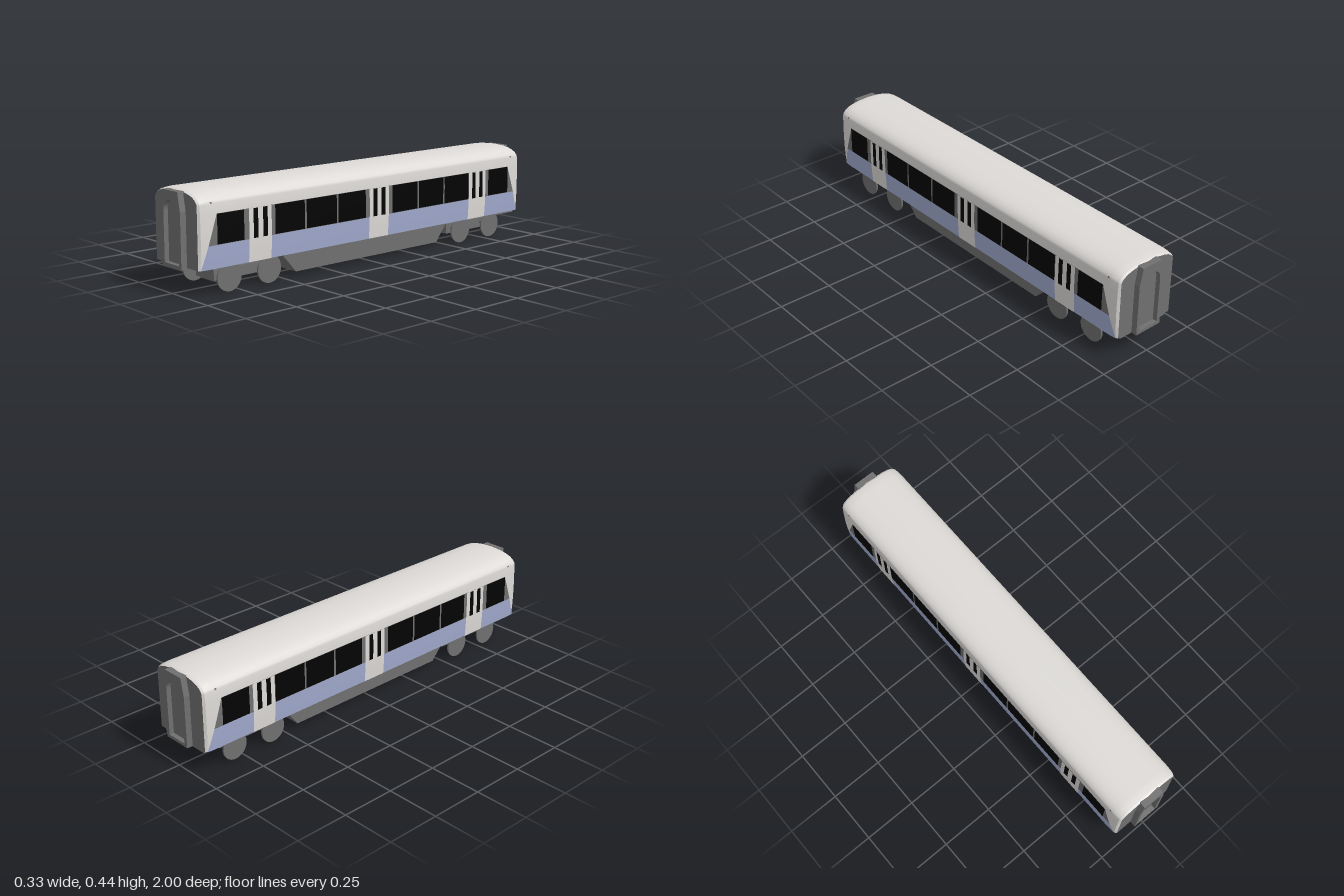
import * as THREE from 'three';

const mat = (name, color) => Object.assign(new THREE.MeshStandardMaterial({ color }), { name });

// half cross-section of the body, sill to roof centre
const FLOOR = 0.116;
const HALF = [[0.158, FLOOR], [0.161, 0.16], [0.1635, 0.215], [0.1635, 0.28], [0.162, 0.345], [0.16, 0.387],
  [0.156, 0.398], [0.144, 0.411], [0.126, 0.422], [0.1, 0.43], [0.06, 0.437], [0, 0.44]];
const PROFILE = [...HALF, ...HALF.slice(0, -1).reverse().map(([x, y]) => [-x, y])];
const SHELL_END = 0.963, END = 0.972;
const SECTIONS = [-SHELL_END, -0.945, -0.92, -0.6, -0.2, 0.2, 0.6, 0.92, 0.945, SHELL_END];

// the body draws in a little towards each end
function taper(z) {
  const t = Math.max(0, (Math.abs(z) - 0.92) / (SHELL_END - 0.92));
  return { sx: 1 - 0.024 * t * t, sy: 1 - 0.012 * t * t };
}
function section(z) {
  const { sx, sy } = taper(z);
  return PROFILE.map(([x, y]) => [x * sx, FLOOR + (y - FLOOR) * sy]);
}
function halfWidth(y, z) {
  let i = 0;
  while (i < HALF.length - 2 && HALF[i + 1][1] < y) i++;
  const [x0, y0] = HALF[i], [x1, y1] = HALF[i + 1];
  return THREE.MathUtils.lerp(x0, x1, (y - y0) / (y1 - y0)) * taper(z).sx;
}

// surface over a grid of points
function grid(nu, nv, point) {
  const pos = [], index = [];
  for (let i = 0; i <= nu; i++) for (let j = 0; j <= nv; j++) pos.push(...point(i, j));
  for (let i = 0; i < nu; i++) for (let j = 0; j < nv; j++) {
    const a = i * (nv + 1) + j, b = a + nv + 1;
    index.push(a, a + 1, b, b, a + 1, b + 1);
  }
  const g = new THREE.BufferGeometry();
  g.setAttribute('position', new THREE.Float32BufferAttribute(pos, 3));
  g.setIndex(index);
  g.computeVertexNormals();
  return g;
}
const loft = (rings, zs) =>
  grid(zs.length - 1, PROFILE.length - 1, (i, j) => [...rings[i][j], zs[i]]);

// thin plate hugging the side wall; z limits are given at its bottom and top
function sidePlate(side, y0, y1, [b0, b1], [t0, t1], layer) {
  const nu = Math.max(1, Math.ceil((b1 - b0) / 0.02)), nv = 5;
  return grid(nu, nv, (i, j) => {
    const u = side > 0 ? i / nu : 1 - i / nu, v = j / nv;
    const y = y0 + (y1 - y0) * v;
    const z = THREE.MathUtils.lerp(b0 + (b1 - b0) * u, t0 + (t1 - t0) * u, v);
    return [side * (halfWidth(y, z) + 0.0013 * layer), y, z];
  });
}

export function createModel() {
  const white = mat('bodyWhite', 0xdddad7), blue = mat('bandBlue', 0xa0aace);
  const grey = mat('darkGrey', 0x707070), black = mat('windowBlack', 0x030303);
  const model = new THREE.Group();
  model.name = 'railwayCarriage';
  const add = (name, geometry, material, parent = model) => {
    const m = new THREE.Mesh(geometry, material);
    m.name = name;
    parent.add(m);
    return m;
  };
  const box = (name, w, h, d, x, y, z, parent) =>
    add(name, new THREE.BoxGeometry(w, h, d), grey, parent).position.set(x, y, z);

  // body shell and floor
  add('bodyShell', loft(SECTIONS.map(section), SECTIONS), white);
  box('floor', 0.296, 0.006, 2 * END - 0.002, 0, FLOOR + 0.003, 0);

  // side livery, windows and doors
  const YB = 0.215, YT = 0.345;
  const slant = y => SHELL_END - 0.078 * (y - FLOOR) / (YT - FLOOR);
  const windows = [[0.749, 0.885], [0.424, 0.585], [0.242, 0.414], [0.07, 0.232],
    [-0.255, -0.094], [-0.427, -0.265], [-0.602, -0.437], [-0.885, -0.743]];
  const doors = [0.664, -0.013, -0.664];
  for (const side of [1, -1]) {
    const wall = new THREE.Group();
    wall.name = side > 0 ? 'leftSide' : 'rightSide';
    model.add(wall);
    const plate = (name, m, y0, y1, z0, z1, layer) =>
      add(name, sidePlate(side, y0, y1, [z0, z1], [z0, z1], layer), m, wall);
    const band = (name, m, y0, y1) => add(name, sidePlate(side, y0, y1,
      [-slant(y0), slant(y0)], [-slant(y1), slant(y1)], 1), m, wall);
    band('lowerBand', blue, FLOOR, YB);
    band('windowBand', grey, YB, YT);
    for (const [z0, z1] of windows) plate('window', black, YB + 0.002, YT - 0.001, z0, z1, 2);
    for (const z of doors) {
      plate('door', white, FLOOR, YT, z - 0.059, z + 0.059, 2);
      for (const dz of [-0.025, 0.025])
        plate('doorWindow', black, YB + 0.002, YT - 0.002, z + dz - 0.012, z + dz + 0.012, 3);
    }
    for (const z of [0.91, -0.91]) plate('markerLamp', grey, 0.388, 0.395, z - 0.005, z + 0.005, 1);
  }

  // bevelled end rims, end walls and gangway frames
  const shellRing = section(SHELL_END);
  const endRing = shellRing.map(([x, y]) =>
    [THREE.MathUtils.clamp(x * 0.965, -0.149, 0.149), FLOOR + (y - FLOOR) * 0.988]);
  const endShape = new THREE.Shape(endRing.map(p => new THREE.Vector2(...p)));
  const frame = new THREE.Shape([[-0.0685, 0.11], [0.0685, 0.11], [0.0685, 0.35], [0.053, 0.432],
    [-0.053, 0.432], [-0.0685, 0.35]].map(p => new THREE.Vector2(...p)));
  const arch = new THREE.Path();
  arch.moveTo(-0.051, 0.125);
  arch.lineTo(-0.051, 0.342);
  arch.absarc(0, 0.342, 0.051, Math.PI, 0, true);
  arch.lineTo(0.051, 0.125);
  arch.closePath();
  frame.holes.push(arch);
  for (const turn of [0, Math.PI]) {
    const end = new THREE.Group();
    end.name = turn ? 'rearEnd' : 'frontEnd';
    end.rotation.y = turn;
    model.add(end);
    add('endRim', loft([shellRing, endRing], [SHELL_END, END]), white, end);
    add('endWall', new THREE.ShapeGeometry(endShape), grey, end).position.z = END;
    const x = turn ? -0.003 : 0.003;
    add('gangwayFrame', new THREE.ExtrudeGeometry(frame,
      { depth: 0.032, bevelEnabled: false, curveSegments: 16 }), grey, end).position.set(x, 0, 0.968);
    box('gangwayDoor', 0.104, 0.27, 0.006, x, 0.259, 0.975, end);
  }
  box('rearSill', 0.262, 0.016, 0.13, 0, 0.109, -0.9);

  // equipment case under the floor
  const hull = new THREE.Shape([[-0.52, 0.117], [-0.435, 0.021], [0.435, 0.021], [0.51, 0.117]]
    .map(p => new THREE.Vector2(...p)));
  const hullGeo = new THREE.ExtrudeGeometry(hull, { depth: 0.226, bevelEnabled: false });
  hullGeo.translate(0, 0, -0.113).rotateY(Math.PI / 2);
  add('equipmentCase', hullGeo, grey).position.x = 0.003;

  // bogies
  const R = 0.062;
  for (const z of [0.697, -0.692]) {
    const bogie = new THREE.Group();
    bogie.name = z > 0 ? 'frontBogie' : 'rearBogie';
    bogie.position.set(0.003, 0, z);
    model.add(bogie);
    box('bogieFrame', 0.128, 0.047, 0.28, 0, 0.061, 0, bogie);
    box('bolster', 0.07, 0.012, 0.1, 0, 0.094, 0, bogie);
    add('pivot', new THREE.CylinderGeometry(0.036, 0.036, 0.034, 20), grey, bogie).position.y = 0.1;
    for (const dz of [-0.105, 0.105]) {
      const axle = add('axle', new THREE.CylinderGeometry(0.0065, 0.0065, 0.204, 12), grey, bogie);
      axle.rotation.z = Math.PI / 2;
      axle.position.set(0, 0.064, dz);
      for (const s of [-1, 1]) {
        const wheel = add('wheel', new THREE.CylinderGeometry(R, R, 0.008, 32), grey, bogie);
        wheel.rotation.z = Math.PI / 2;
        wheel.position.set(s * 0.124, R, dz);
      }
    }
  }
  return model;
}
